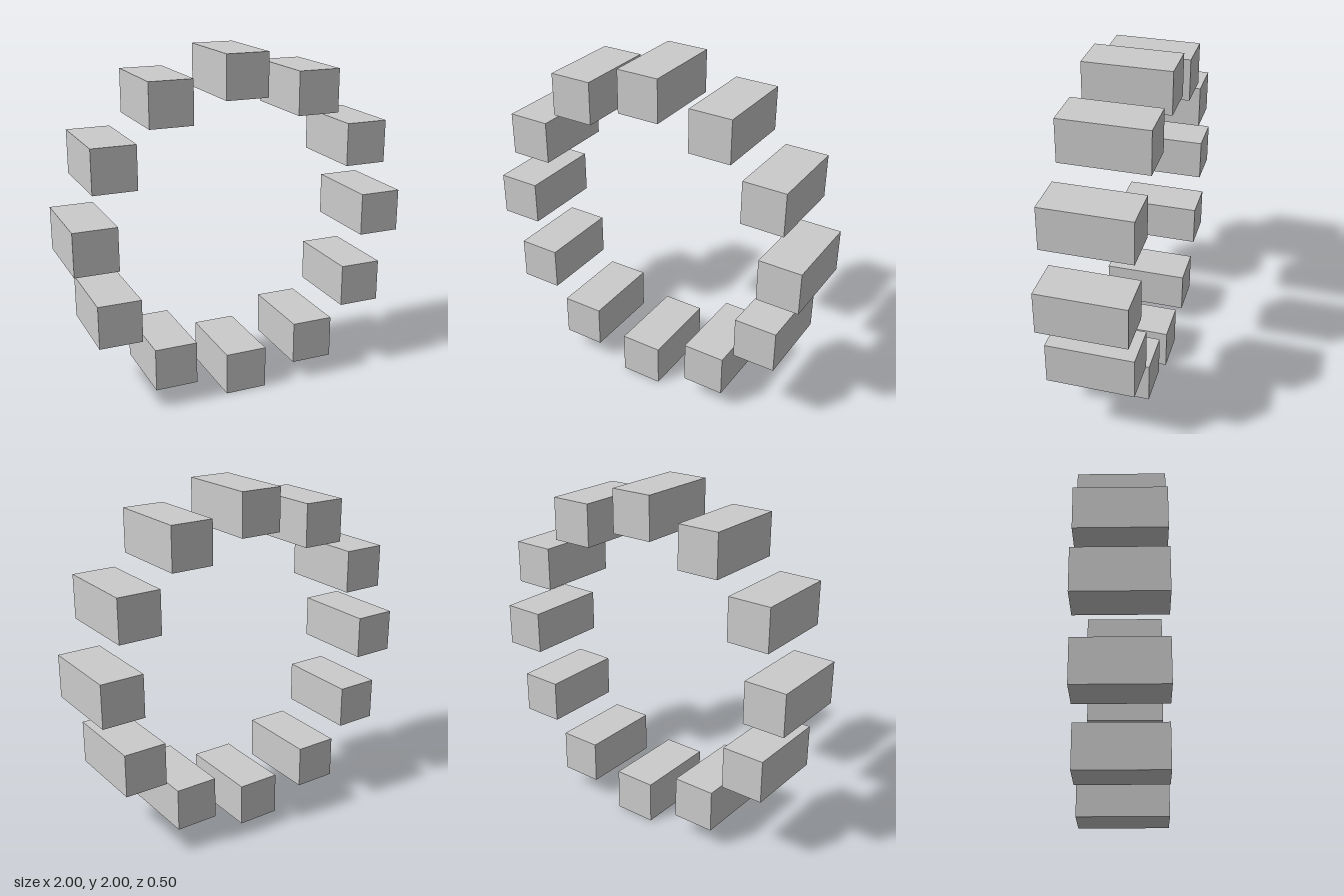
import * as THREE from 'three';

const COUNT = 12;
const RADIUS = 0.875;
const SIZE = 0.25;
const DEPTH = 0.5;

export function createModel() {
  const model = new THREE.Group();
  model.name = 'blockRing';

  const material = new THREE.MeshStandardMaterial({ color: 0xcccccc, flatShading: true });
  const geometry = new THREE.BoxGeometry(SIZE, SIZE, DEPTH);

  // Upright blocks spaced evenly around a vertical circle, none of them rotated
  for (let i = 0; i < COUNT; i++) {
    const angle = (i / COUNT) * Math.PI * 2;
    const block = new THREE.Mesh(geometry, material);
    block.name = `block${i + 1}`;
    block.position.set(RADIUS * Math.cos(angle), 1 + RADIUS * Math.sin(angle), 0);
    model.add(block);
  }
  return model;
}
